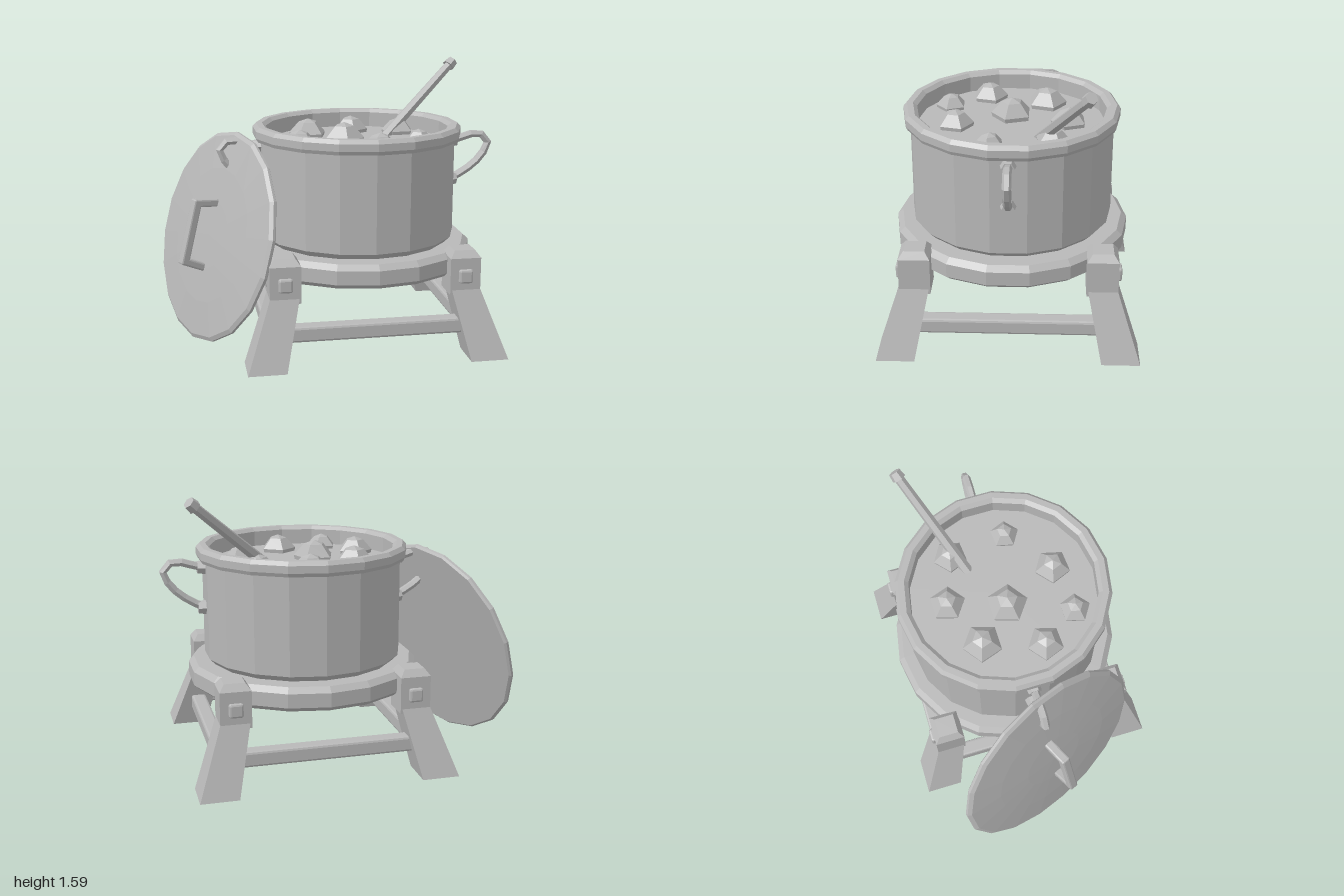
import * as THREE from 'three';
import { RoundedBoxGeometry } from 'three/addons/geometries/RoundedBoxGeometry.js';

const SIDES = 18;
const CX = 0.16; // pot and stand axis
const V = (x, y, z) => new THREE.Vector3(x, y, z);

export function createModel() {
  const model = new THREE.Group();
  const grey = new THREE.MeshStandardMaterial({ color: 0xb8b8b8, flatShading: true });
  grey.name = 'plain grey';

  function add(parent, name, geometry, x = 0, y = 0, z = 0) {
    const mesh = new THREE.Mesh(geometry, grey);
    mesh.name = name;
    mesh.position.set(x, y, z);
    parent.add(mesh);
    return mesh;
  }
  function group(name, parent = model) {
    const g = new THREE.Group();
    g.name = name;
    parent.add(g);
    return g;
  }
  const lathe = (pts, sides = SIDES) =>
    new THREE.LatheGeometry(pts.map(p => new THREE.Vector2(...p)), sides);
  // Rod between two points
  function rod(parent, name, a, b, r0, r1 = r0, sides = 6) {
    const d = b.clone().sub(a);
    const m = add(parent, name, new THREE.CylinderGeometry(r1, r0, d.length(), sides));
    m.position.copy(a).add(b).multiplyScalar(0.5);
    m.quaternion.setFromUnitVectors(V(0, 1, 0), d.normalize());
    return m;
  }
  // Square block tapering from half width h0 to h1
  const taper = (h0, h1, height) =>
    new THREE.CylinderGeometry(h1 * Math.SQRT2, h0 * Math.SQRT2, height, 4).rotateY(Math.PI / 4);

  // Pot with rolled rim
  const pot = group('pot');
  pot.position.x = CX;
  add(pot, 'potBody', lathe([
    [0, 0.57], [0.545, 0.57], [0.58, 0.605], [0.58, 1.166], [0.605, 1.166], [0.615, 1.187],
    [0.615, 1.228], [0.595, 1.25], [0.56, 1.25], [0.537, 1.23], [0.537, 1.12]]));
  add(pot, 'stewSurface', lathe([[0.54, 1.14], [0, 1.14]]));

  // Side handles
  for (const s of [1, -1]) {
    const handle = group(s > 0 ? 'leftHandle' : 'rightHandle', pot);
    const path = [[0.575, 1.125], [0.65, 1.145], [0.752, 1.166], [0.81, 1.11],
      [0.745, 1.0], [0.66, 0.935], [0.575, 0.89]].map(([x, y]) => V(s * x, y, 0));
    add(handle, 'handleLoop', new THREE.TubeGeometry(new THREE.CatmullRomCurve3(path), 9, 0.024, 6));
    for (const y of [1.128, 0.892]) {
      rod(handle, 'handleMount', V(s * 0.55, y, 0), V(s * 0.615, y, 0), 0.048, 0.036);
    }
  }

  // Food chunks: x, z, radius
  const chunks = [[0.085, 0, 0.12], [-0.1, -0.2, 0.115], [0.185, -0.325, 0.105], [-0.2, 0.14, 0.105],
    [-0.05, 0.36, 0.09], [0.235, 0.315, 0.105], [0.51, 0.11, 0.085], [0.465, -0.23, 0.1]];
  chunks.forEach(([x, z, r], i) => {
    const chunk = add(model, 'foodChunk', lathe(
      [[r * 0.95, 0], [r, r * 0.25], [r * 0.5, r * 0.82], [0, r]], 5), x, 1.135, z);
    chunk.rotation.y = i * 1.9;
  });

  // Ladle resting in the pot
  const ladle = group('ladle');
  rod(ladle, 'ladleShaft', V(0.36, 1.12, -0.155), V(0.85, 1.55, -0.41), 0.034, 0.028);
  rod(ladle, 'ladleKnob', V(0.828, 1.53, -0.399), V(0.86, 1.56, -0.415), 0.04, 0.034);

  // Stand ring
  add(model, 'standRing', lathe([
    [0.43, 0.43], [0.64, 0.43], [0.677, 0.46], [0.677, 0.54], [0.645, 0.57],
    [0.43, 0.57], [0.43, 0.43]]), CX);

  // Splayed legs with capped blocks and pegs
  for (const sx of [1, -1]) for (const sz of [1, -1]) {
    const leg = group('leg');
    leg.position.set(CX + sx * 0.508, 0, sz * 0.515);
    const shaft = taper(0.107, 0.081, 0.4).translate(0, 0.2, 0);
    const p = shaft.attributes.position;
    for (let i = 0; i < p.count; i++) {
      const k = 1 - p.getY(i) / 0.4;
      p.setX(i, p.getX(i) + sx * 0.117 * k);
      p.setZ(i, p.getZ(i) + sz * 0.108 * k);
    }
    add(leg, 'legShaft', shaft);
    add(leg, 'legBlock', taper(0.087, 0.087, 0.21), 0, 0.46, 0);
    add(leg, 'legCap', taper(0.087, 0.058, 0.04), 0, 0.585, 0);
    add(leg, 'legPeg', new RoundedBoxGeometry(0.08, 0.08, 0.06, 1, 0.012), 0, 0.462, sz * 0.078);
  }

  // Cross beams between the legs
  for (const s of [1, -1]) {
    add(model, 'crossBeam', new RoundedBoxGeometry(1.08, 0.09, 0.09, 1, 0.014), CX, 0.175, s * 0.57);
    add(model, 'sideBeam', new RoundedBoxGeometry(0.09, 0.09, 1.08, 1, 0.014), CX + s * 0.57, 0.153, 0);
  }

  // Lid leaning against the pot: local y is its outer face, local z runs down its face
  const lid = group('lid');
  const across = V(0.42, 0, 0.907).normalize();
  const out = V(-0.875, 0.263, 0.405).normalize();
  const down = across.clone().cross(out).normalize();
  lid.quaternion.setFromRotationMatrix(new THREE.Matrix4().makeBasis(across, out, down));
  lid.position.set(-0.67, 0.6, 0.015);
  add(lid, 'lidPlate', lathe([
    [0, 0], [0.61, 0], [0.622, 0.01], [0.622, 0.026], [0.6, 0.04], [0.4, 0.056], [0.2, 0.065], [0, 0.068]]));
  const grip = group('lidHandle', lid);
  add(grip, 'gripBar', new RoundedBoxGeometry(0.055, 0.05, 0.39, 1, 0.01), 0, 0.19, 0);
  for (const s of [1, -1]) {
    const post = add(grip, 'gripPost', new RoundedBoxGeometry(0.055, 0.17, 0.045, 1, 0.01), 0, 0.12, s * 0.185);
    post.rotation.x = -s * 0.16;
  }

  return model;
}
